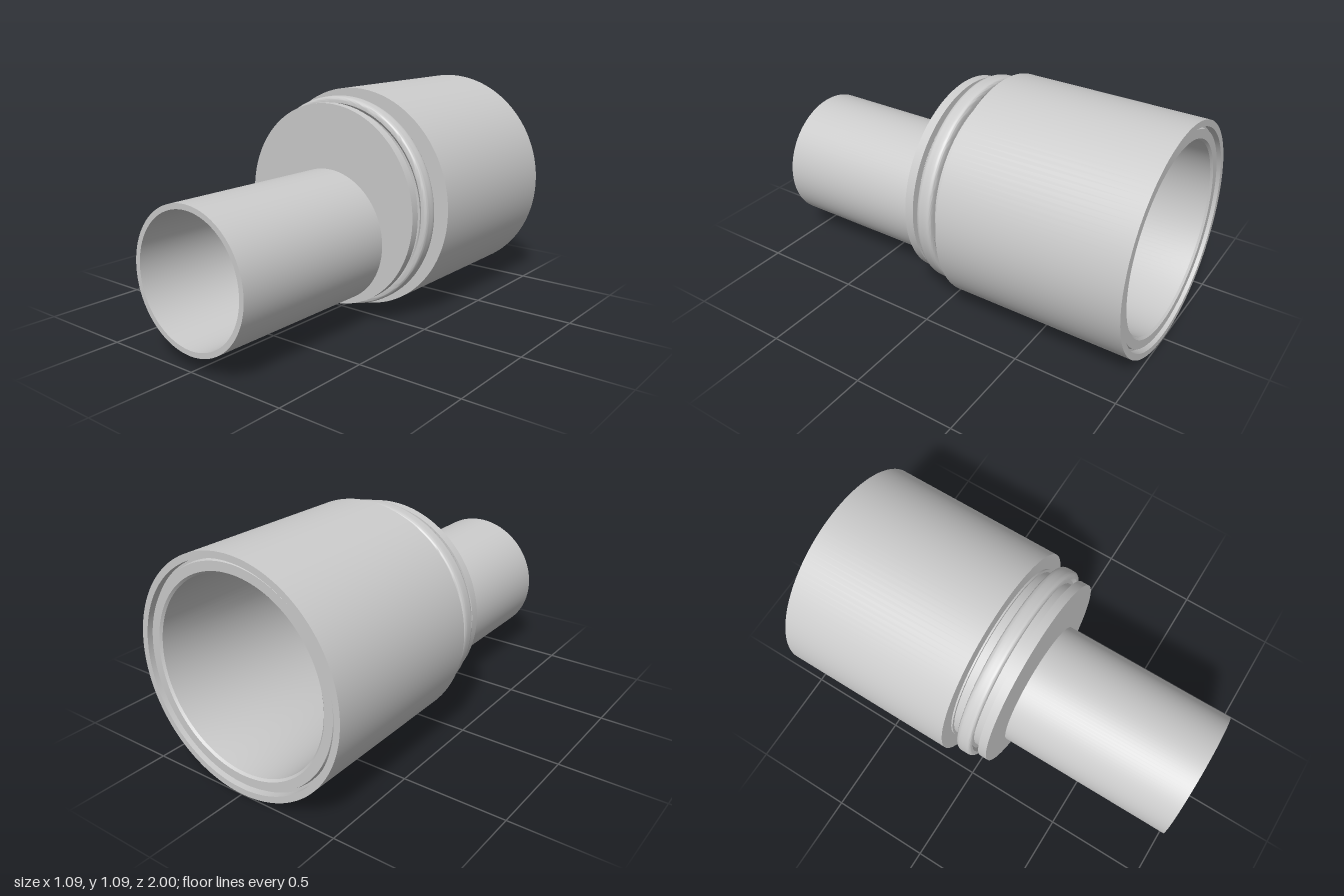
import * as THREE from 'three';
import { toCreasedNormals } from 'three/addons/utils/BufferGeometryUtils.js';

const material = new THREE.MeshStandardMaterial({ color: 0xcccccc, side: THREE.DoubleSide });
const MAIN_Y = 0.545; // axis height of the wide socket
const PIPE_Y = 0.397; // axis height of the offset narrow pipe
const BORE = 0.448;
const PIPE_BORE = 0.3;

// Revolves a closed [radius, z] outline around a horizontal axis at height y
function revolve(name, outline, y) {
  const points = [...outline, outline[0]].map(([r, z]) => new THREE.Vector2(r, z));
  const geometry = new THREE.LatheGeometry(points, 128).rotateX(Math.PI / 2);
  const mesh = new THREE.Mesh(toCreasedNormals(geometry, 0.6), material);
  mesh.name = name;
  mesh.position.y = y;
  return mesh;
}

export function createModel() {
  const group = new THREE.Group();
  group.name = 'eccentricReducer';

  // Wide socket with a stepped rim at the back
  group.add(revolve('socket', [
    [BORE, -0.105], [BORE, -0.975], [0.458, -0.985], [0.5, -0.985],
    [0.505, -0.965], [0.515, -0.965], [0.515, -1], [0.545, -1],
    [0.545, -0.105], [0.465, -0.105], [0.465, -0.097], [0.452, -0.097],
  ], MAIN_Y));

  // Thin neck carrying the seal
  group.add(revolve('neck', [
    [BORE, -0.105], [0.452, -0.105], [0.452, 0.065], [BORE, 0.065],
  ], MAIN_Y));

  // Seal with rounded outer shoulders
  const seal = [[0.45, -0.035], [0.47, -0.035]];
  for (let i = 0; i <= 16; i++) {
    const a = -Math.PI / 2 + (Math.PI * i) / 16;
    const flat = Math.sign(Math.sin(a)) * Math.sqrt(Math.abs(Math.sin(a)));
    seal.push([0.485 + 0.03 * Math.sqrt(Math.max(0, Math.cos(a))), -0.01 + 0.038 * flat]);
  }
  seal.push([0.47, 0.015], [0.45, 0.015]);
  group.add(revolve('sealRing', seal, MAIN_Y));

  // End plate with an off-centre opening
  const disc = new THREE.Shape().absarc(0, 0, 0.49, 0, Math.PI * 2);
  disc.holes.push(new THREE.Path().absarc(0, PIPE_Y - MAIN_Y, PIPE_BORE, 0, Math.PI * 2, true));
  const plateGeometry = new THREE.ExtrudeGeometry(disc, { depth: 0.043, bevelEnabled: false, curveSegments: 128 });
  const plate = new THREE.Mesh(toCreasedNormals(plateGeometry, 0.6), material);
  plate.name = 'endPlate';
  plate.position.set(0, MAIN_Y, 0.062);
  group.add(plate);

  // Narrow pipe, its bore level with the bottom of the wide one
  group.add(revolve('narrowPipe', [
    [PIPE_BORE, 0.1], [0.325, 0.1], [0.325, 1], [PIPE_BORE, 1],
  ], PIPE_Y));

  return group;
}
